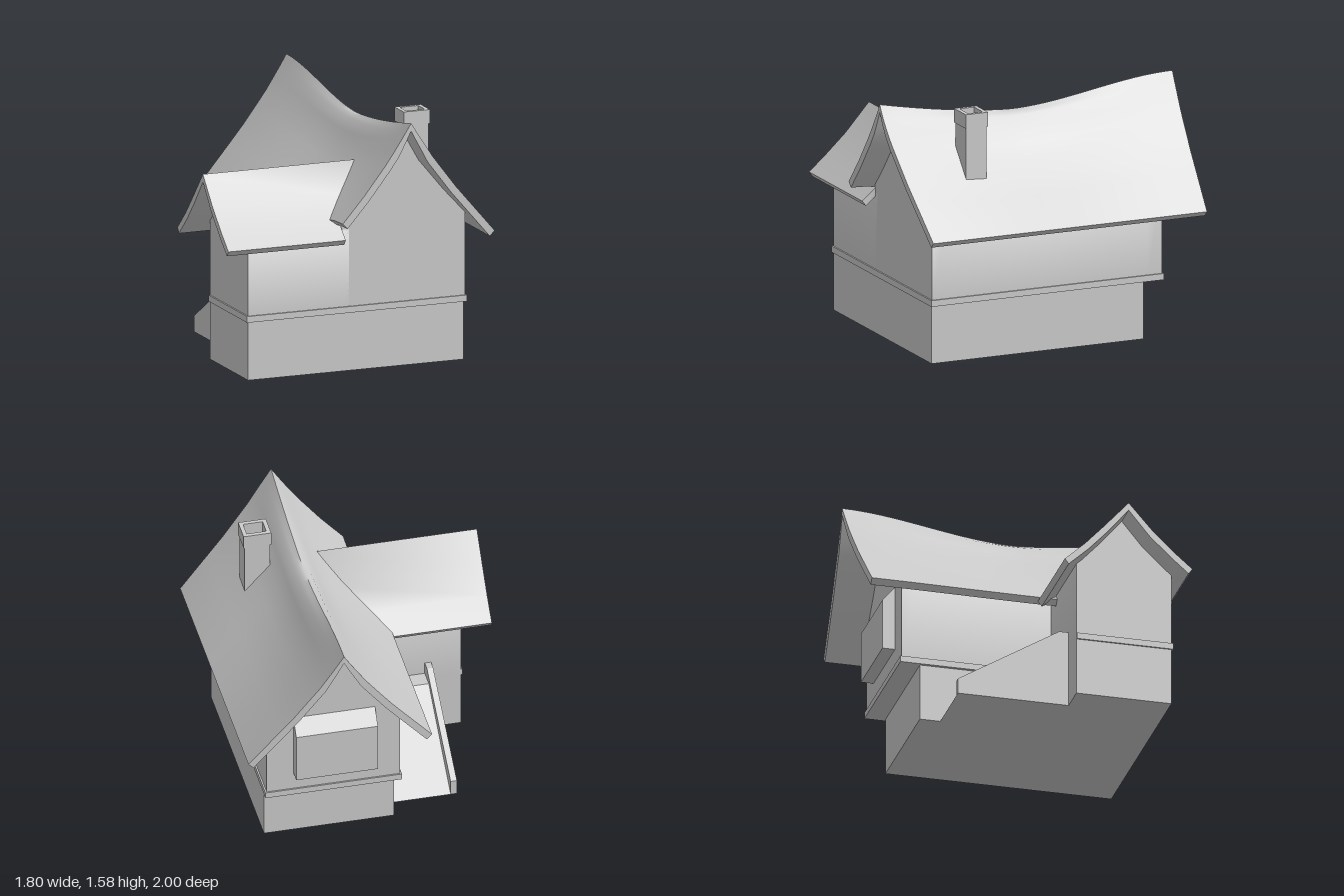
import * as THREE from 'three';
import { toCreasedNormals } from 'three/addons/utils/BufferGeometryUtils.js';

const lerp = THREE.MathUtils.lerp;
const RIDGE_X = 0.3;

// Piecewise linear curve through [input, output] pairs
function curve(points, t) {
  let i = 1;
  while (i < points.length - 1 && t > points[i][0]) i++;
  const [a, b] = [points[i - 1], points[i]];
  return lerp(a[1], b[1], THREE.MathUtils.clamp((t - a[0]) / (b[0] - a[0]), 0, 1));
}

// Sagging main ridge and the concave slopes that fall from it
function ridgeY(z) {
  if (z > 0.1) return 1.455 + 0.125 * Math.pow((z - 0.1) / 0.9, 1.5);
  return 1.455 + 0.125 * THREE.MathUtils.smoothstep((0.1 - z) / 1.1, 0, 1);
}
function roofY(x, z) {
  const top = ridgeY(z);
  const round = (1.58 - top) / 0.125;
  const profile = [[0, 1], [0.08, 0.9 + 0.05 * round], [0.25, 0.7], [0.53, 0.42], [1, 0]];
  return 0.82 + (top - 0.82) * curve(profile, Math.abs(x - RIDGE_X) / 0.6);
}

// Wing roof section and where it runs into the main roof
const WING = [[0.11, 0.83], [0.24, 0.95], [0.36, 1.08], [0.52, 1.26], [0.68, 1.08], [0.83, 0.94], [0.93, 0.855]];
const VALLEY = [[0.11, -0.25], [0.36, 0.02], [0.52, 0.16], [0.69, 0], [0.83, -0.11], [0.93, -0.11]];

// Closed solid between a top and a bottom surface; us run along +x, vs along +z
function slab(us, vs, top, bottom) {
  const pos = [], index = [];
  const nu = us.length, nv = vs.length, half = nu * nv;
  for (const f of [top, bottom]) for (const u of us) for (const v of vs) pos.push(...f(u, v));
  const id = (i, j) => i * nv + j;
  const quad = (a, b, c, d) => index.push(a, b, c, a, c, d);
  for (let i = 0; i < nu - 1; i++) for (let j = 0; j < nv - 1; j++) {
    const q = [id(i, j), id(i, j + 1), id(i + 1, j + 1), id(i + 1, j)];
    quad(...q);
    quad(...q.map((k) => k + half).reverse());
  }
  const rim = [];
  for (let j = 0; j < nv - 1; j++) rim.push(id(0, j));
  for (let i = 0; i < nu - 1; i++) rim.push(id(i, nv - 1));
  for (let j = nv - 1; j > 0; j--) rim.push(id(nu - 1, j));
  for (let i = nu - 1; i > 0; i--) rim.push(id(i, 0));
  rim.forEach((p, k) => {
    const q = rim[(k + 1) % rim.length];
    quad(p + half, q + half, q, p);
  });
  const g = new THREE.BufferGeometry();
  g.setAttribute('position', new THREE.Float32BufferAttribute(pos, 3));
  g.setIndex(index);
  return toCreasedNormals(g, 1.2);
}

function block(x0, x1, y0, y1, z0, z1) {
  return new THREE.BoxGeometry(x1 - x0, y1 - y0, z1 - z0)
    .translate((x0 + x1) / 2, (y0 + y1) / 2, (z0 + z1) / 2);
}

// Side profile of [z, y] points extruded from x0 to x1
function sideProfile(points, x0, x1) {
  const shape = new THREE.Shape(points.map(([z, y]) => new THREE.Vector2(z, y)));
  return new THREE.ExtrudeGeometry(shape, { depth: x1 - x0, bevelEnabled: false })
    .rotateY(-Math.PI / 2).translate(x1, 0, 0);
}

const steps = (n, a = 0, b = 1) => Array.from({ length: n + 1 }, (_, i) => lerp(a, b, i / n));

export function createModel() {
  const house = new THREE.Group();
  house.name = 'house';
  const material = new THREE.MeshStandardMaterial({ color: 0xcccccc });
  const add = (name, geometry) => {
    const mesh = new THREE.Mesh(geometry, material);
    mesh.name = name;
    house.add(mesh);
  };

  // Ground floor
  add('mainBase', block(-0.11, 0.72, 0, 0.39, -0.61, 0.84));
  add('wingBase', block(-0.73, 0, 0, 0.39, 0.23, 0.84));

  // Trim band between the floors
  add('mainBand', block(-0.13, 0.74, 0.37, 0.41, -0.74, 0.85));
  add('wingBand', block(-0.74, 0, 0.37, 0.41, 0.232, 0.85));

  // Upper walls, with gables cut to the roofs
  add('mainUpperWalls', slab(
    [-0.12, -0.02, 0.06, 0.15, 0.2, 0.25, 0.3, 0.35, 0.4, 0.45, 0.54, 0.62, 0.73],
    steps(16, -0.73, 0.84),
    (x, z) => [x, Math.min(roofY(x, z) - 0.03, 1.44), z],
    (x, z) => [x, 0.39, z]));
  add('wingUpperWalls', slab(
    [-0.73, -0.05], [0.23, 0.36, 0.52, 0.68, 0.84],
    (x, z) => [x, curve(WING, z) - 0.03, z],
    (x, z) => [x, 0.39, z]));

  // Main roof: swaybacked, flared at the ridge ends, shorter eave above the wing front
  const spread = [0.04, 0.08, 0.16, 0.25, 0.38, 0.53, 0.68, 0.84, 1];
  const across = [...spread.map((s) => -s).reverse(), 0, ...spread];
  const roofTop = (s, v) => {
    const z = -1 + 2 * v;
    const left = RIDGE_X - curve([[0.4, -0.27], [0.83, -0.16]], z);
    const x = RIDGE_X + s * (s < 0 ? left : 0.6);
    const back = -1 + 0.04 * Math.abs(s);
    const front = 1 - 0.09 * Math.max(0, (x - 0.37) / 0.53);
    return [x, roofY(x, z), lerp(back, front, v)];
  };
  const roofUnder = (s, v) => {
    const [x, y, z] = roofTop(s, v);
    const k = Math.min(1, Math.abs(s) * 4);
    return [x - Math.sign(s) * 0.033 * k, y - lerp(0.05, 0.033, k), z];
  };
  add('mainRoof', slab(across, steps(32), roofTop, roofUnder));

  // Wing roof
  const wingTop = (u, z) => [lerp(-0.9, curve(VALLEY, z), u), curve(WING, z), z];
  const wingUnder = (u, z) => {
    const [x, y] = wingTop(u, z);
    const side = Math.sign(z - 0.52);
    return [x, y - (side ? 0.033 : 0.05), z - side * 0.025];
  };
  add('wingRoof', slab([0, 1], WING.map((p) => p[0]), wingTop, wingUnder));

  // Bay on the back wall with a sloped top
  add('backBay', sideProfile([[-0.81, 0.53], [-0.7, 0.53], [-0.7, 0.99], [-0.73, 0.955], [-0.81, 0.86]], 0.04, 0.56));

  // Ramp to the side entrance, with its outer parapet
  add('ramp', sideProfile([[-0.48, 0], [0.24, 0], [0.24, 0.42], [0.12, 0.42]], -0.5, -0.1));
  add('rampParapet', sideProfile([[-0.48, 0], [0.24, 0], [0.24, 0.5], [0.17, 0.5], [-0.48, 0.1]], -0.54, -0.5));

  // Chimney with a hollow cap
  add('chimney', block(0.445, 0.605, 1.0, 1.46, 0.41, 0.55));
  const rect = (P, w, d) => new P([[-w, -d], [w, -d], [w, d], [-w, d]].map(([x, y]) => new THREE.Vector2(x, y)));
  const cap = rect(THREE.Shape, 0.088, 0.076);
  cap.holes.push(rect(THREE.Path, 0.062, 0.05));
  add('chimneyCap', new THREE.ExtrudeGeometry(cap, { depth: 0.09, bevelEnabled: false })
    .rotateX(-Math.PI / 2).translate(0.525, 1.45, 0.48));

  return house;
}
